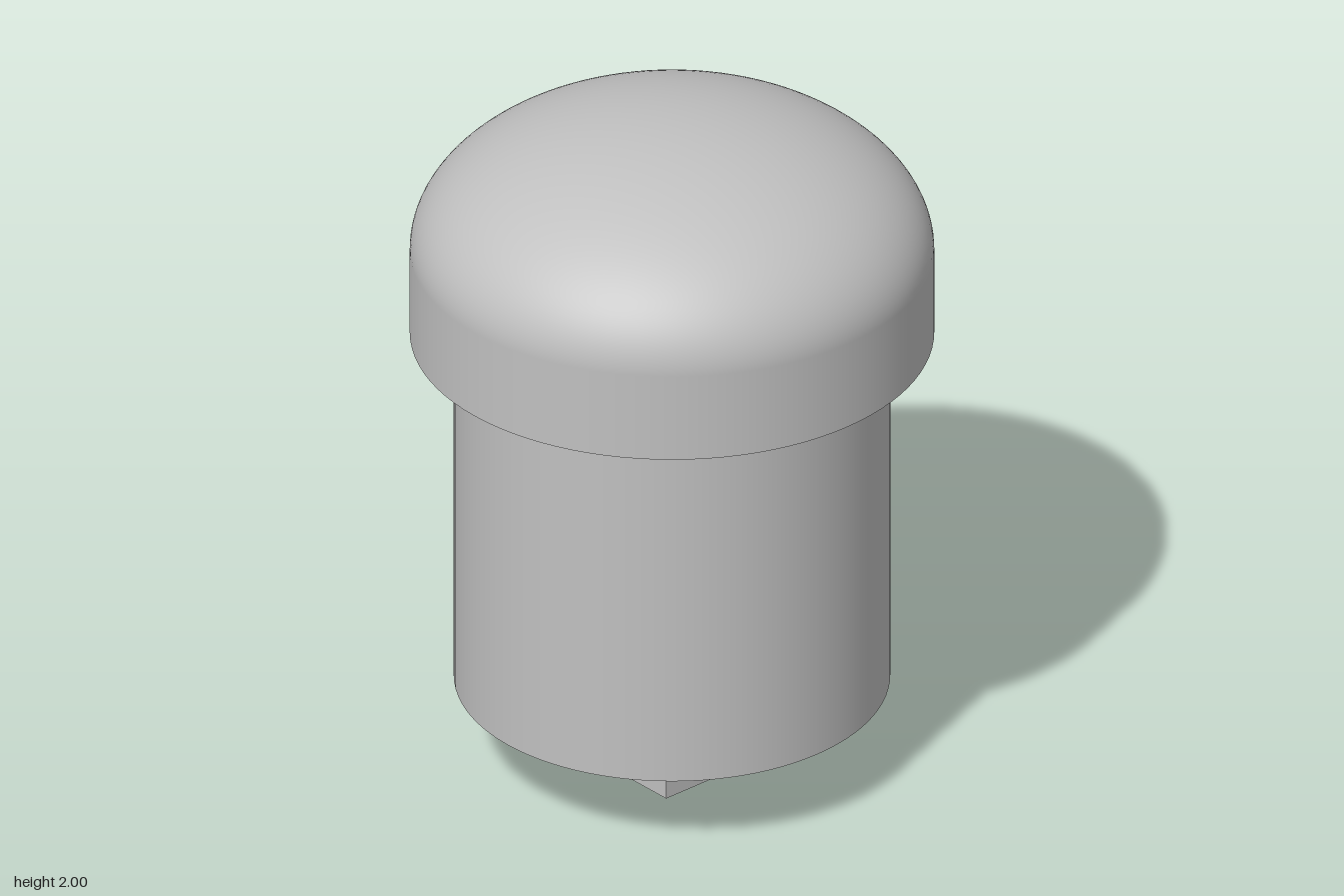
import * as THREE from 'three';

export function createModel() {
  const model = new THREE.Group();
  const grey = new THREE.MeshStandardMaterial({ color: 0xc0c0c0 });
  grey.name = 'light grey';

  const add = (name, geometry, y) => {
    const mesh = new THREE.Mesh(geometry, grey);
    mesh.name = name;
    mesh.position.y = y;
    model.add(mesh);
  };

  const capRadius = 0.727, bodyRadius = 0.605;
  const capBottom = 1.337, domeBottom = 1.6, bodyBottom = 0.248;

  // Square peg under the body
  add('squarePeg', new THREE.BoxGeometry(0.367, bodyBottom, 0.367), bodyBottom / 2);

  // Cylindrical body
  const bodyHeight = capBottom - bodyBottom;
  add('body', new THREE.CylinderGeometry(bodyRadius, bodyRadius, bodyHeight, 96), bodyBottom + bodyHeight / 2);

  // Straight rim of the cap, closed below and open under the dome
  const rim = new THREE.LatheGeometry([
    new THREE.Vector2(capRadius, capBottom),
    new THREE.Vector2(capRadius, domeBottom),
  ], 96);
  add('capRim', rim, 0);
  const underside = new THREE.RingGeometry(bodyRadius, capRadius, 96);
  underside.rotateX(Math.PI / 2);
  add('capUnderside', underside, capBottom);

  // Flattened dome: upper half of an ellipsoid
  const dome = new THREE.SphereGeometry(1, 96, 32, 0, Math.PI * 2, 0, Math.PI / 2);
  dome.scale(capRadius, 2 - domeBottom, capRadius);
  add('capDome', dome, domeBottom);

  return model;
}
